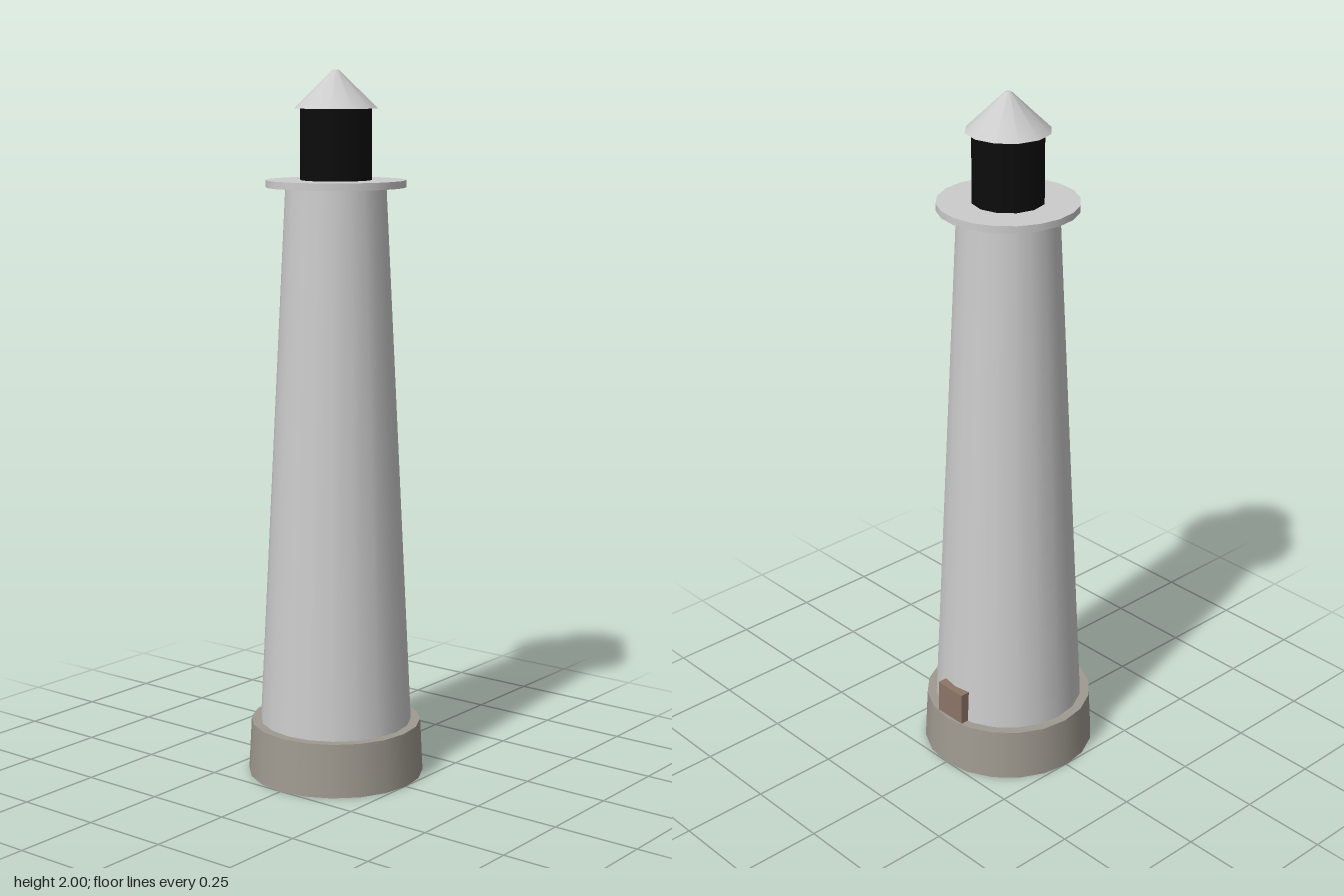
import * as THREE from 'three';

const material = (name, color) => {
  const m = new THREE.MeshStandardMaterial({ color });
  m.name = name;
  return m;
};

export function createModel() {
  const group = new THREE.Group();
  group.name = 'lighthouse';

  const white = material('whitewash', 0xcccccc);
  const stone = material('stone', 0x9f9a90);
  const black = material('lanternBlack', 0x0c0c0c);
  const wood = material('doorBrown', 0x8c7566);

  // Tapered round section standing between two heights
  const section = (name, y0, y1, r0, r1, sides, mat) => {
    const mesh = new THREE.Mesh(new THREE.CylinderGeometry(r1, r0, y1 - y0, sides), mat);
    mesh.name = name;
    mesh.position.y = (y0 + y1) / 2;
    group.add(mesh);
  };

  section('foundation', 0, 0.153, 0.252, 0.244, 20, stone);
  section('tower', 0.05, 1.685, 0.222, 0.14, 20, white);
  section('gallery', 1.68, 1.7, 0.195, 0.195, 20, white);
  section('lantern', 1.7, 1.9, 0.1, 0.1, 12, black);
  section('roof', 1.895, 2, 0.117, 0.008, 12, white);

  // Door at the back, its foot sunk into the foundation
  const door = new THREE.Mesh(new THREE.BoxGeometry(0.1, 0.2, 0.05), wood);
  door.name = 'door';
  door.position.set(0, 0.15, -0.208);
  group.add(door);

  return group;
}
